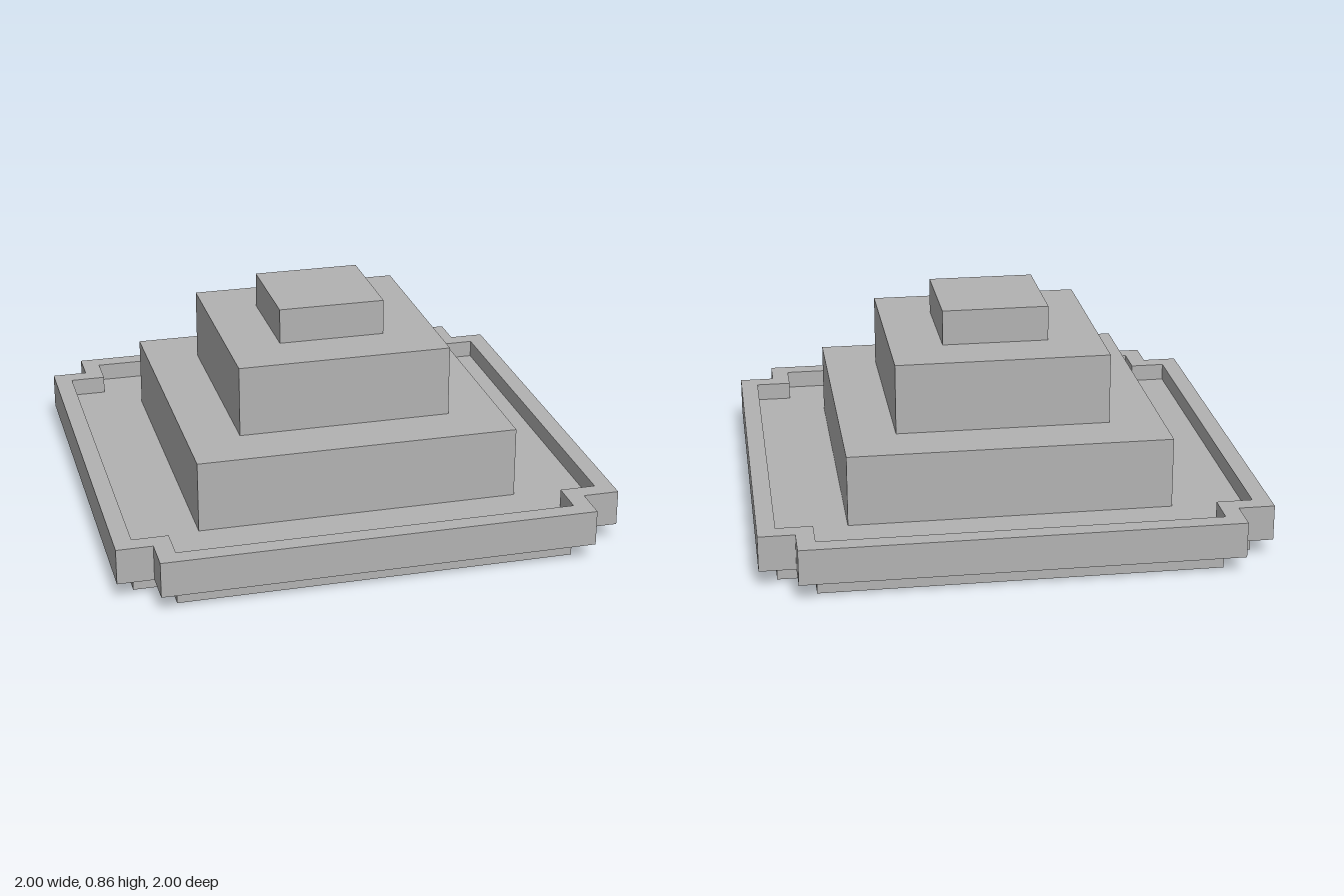
import * as THREE from 'three';

const U = 1 / 14; // one modular step

// Square with its four corners notched inward
function notchedPoints(half, inner) {
  const pts = [];
  for (const [sx, sy] of [[1, 1], [-1, 1], [-1, -1], [1, -1]]) {
    const corner = [[half, inner], [inner, inner], [inner, half]];
    if (sx * sy < 0) corner.reverse();
    for (const [x, y] of corner) pts.push(new THREE.Vector2(sx * x * U, sy * y * U));
  }
  return pts;
}

function squarePoints(half) {
  const h = half * U;
  return [[h, h], [-h, h], [-h, -h], [h, -h]].map(([x, y]) => new THREE.Vector2(x, y));
}

// Horizontal slab from an outline, with an optional opening
function slab(outline, hole, bottom, top) {
  const shape = new THREE.Shape(outline);
  if (hole) shape.holes.push(new THREE.Path(hole));
  const geo = new THREE.ExtrudeGeometry(shape, { depth: (top - bottom) * U, bevelEnabled: false });
  geo.rotateX(-Math.PI / 2);
  geo.translate(0, bottom * U, 0);
  return geo;
}

export function createModel() {
  const group = new THREE.Group();
  const stone = new THREE.MeshStandardMaterial({ color: 0xb2b2b2 });
  stone.name = 'stone grey';

  const add = (name, geo) => {
    const mesh = new THREE.Mesh(geo, stone);
    mesh.name = name;
    group.add(mesh);
  };

  const cavity = squarePoints(8);

  // Foot, projecting terrace and its raised parapet
  add('foot', slab(notchedPoints(13, 11), cavity, 0, 1));
  add('terrace', slab(notchedPoints(14, 12), cavity, 1, 2));
  add('parapet', slab(notchedPoints(14, 12), notchedPoints(13, 11), 2, 3));

  // Stepped tiers; the lowest is hollow underneath
  add('lowerTierWall', slab(squarePoints(9), cavity, 2, 3));
  add('lowerTier', slab(squarePoints(9), null, 3, 6));
  add('middleTier', slab(squarePoints(6), null, 6, 10));
  add('topTier', slab(squarePoints(3), null, 10, 12));

  return group;
}
